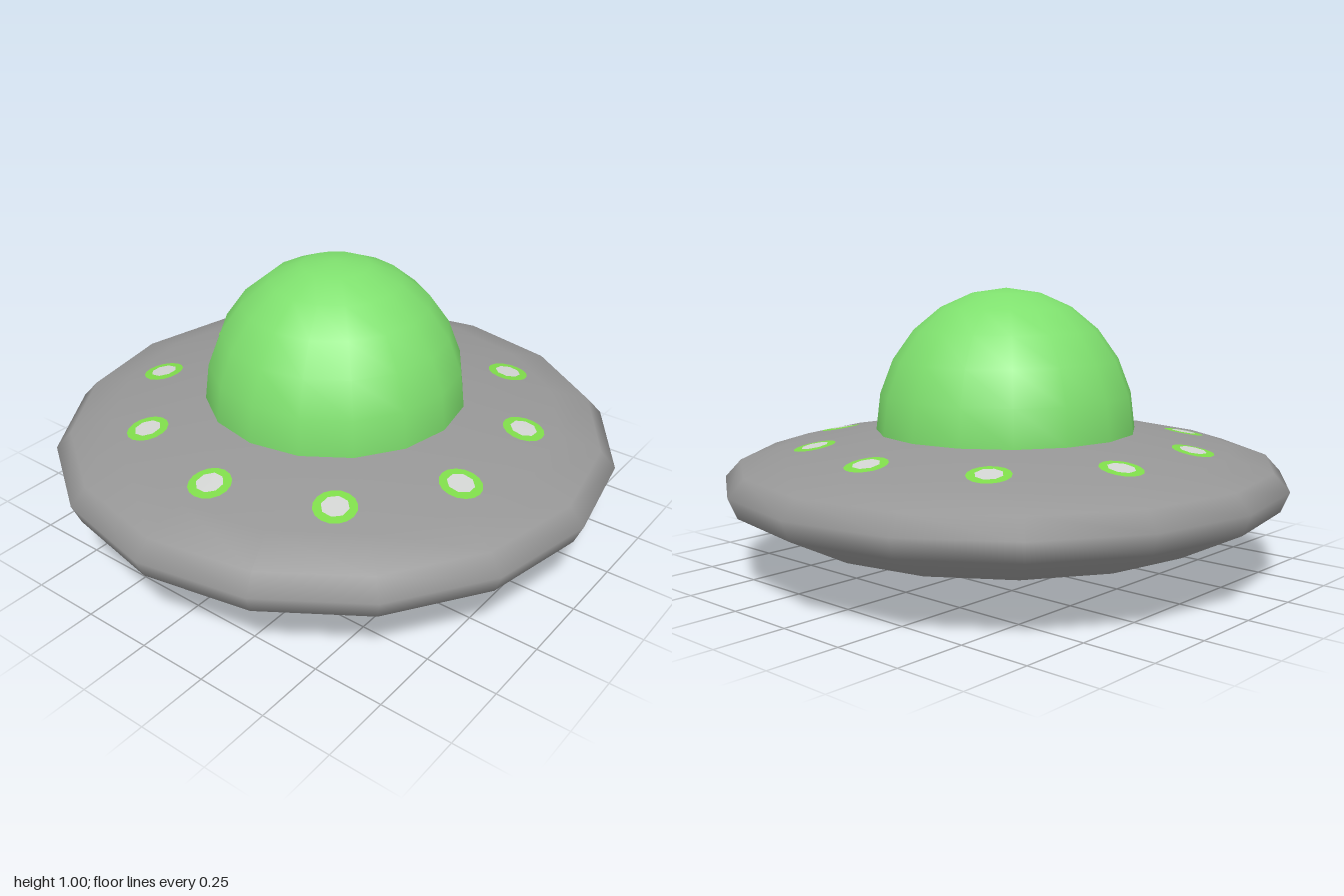
import * as THREE from 'three';

const SIDES = 16;

// Saucer half-profile (radius, height), from the underside up to the crown
const UNDER = [[0, 0.004], [0.25, 0.03], [0.5, 0.085], [0.75, 0.155], [0.97, 0.265], [1, 0.335]];
const UPPER = [[0, 0.52], [0.46, 0.5], [0.8, 0.44], [0.945, 0.395], [1, 0.335]];

// Height of the faceted saucer skin at (x, z)
function skinHeight(profile, x, z) {
  const step = (2 * Math.PI) / SIDES;
  const a = Math.atan2(z, x);
  const fromMid = a - (Math.floor(a / step) + 0.5) * step;
  const r = (Math.hypot(x, z) * Math.cos(fromMid)) / Math.cos(step / 2);
  const i = Math.max(1, profile.findIndex((p) => p[0] >= r));
  const [r0, y0] = profile[i - 1];
  const [r1, y1] = profile[i];
  return y0 + ((y1 - y0) * (r - r0)) / (r1 - r0);
}

// Lays a flat geometry onto the skin, lifted slightly off it
function drape(geometry, profile, lift) {
  const p = geometry.attributes.position;
  for (let i = 0; i < p.count; i++) {
    p.setY(i, skinHeight(profile, p.getX(i), p.getZ(i)) + lift);
  }
  geometry.computeVertexNormals();
  return geometry;
}

export function createModel() {
  const hull = new THREE.MeshStandardMaterial({ name: 'hull grey', color: 0x979797 });
  const glass = new THREE.MeshStandardMaterial({ name: 'dome green', color: 0x7fe06e });
  const rim = new THREE.MeshStandardMaterial({ name: 'rim green', color: 0x7fdc4a });
  const lamp = new THREE.MeshStandardMaterial({ name: 'lamp white', color: 0xd2d4d2 });

  const model = new THREE.Group();
  model.name = 'flyingSaucer';
  const add = (name, geometry, material, parent = model) => {
    const mesh = new THREE.Mesh(geometry, material);
    mesh.name = name;
    parent.add(mesh);
    return mesh;
  };

  // Saucer body
  const outline = [...UNDER, ...UPPER.slice(0, -1).reverse()];
  add('saucer', new THREE.LatheGeometry(outline.map(([r, y]) => new THREE.Vector2(r, y)), SIDES), hull);

  // Dome
  const dome = new THREE.SphereGeometry(1, SIDES, 6, 0, Math.PI * 2, 0, Math.PI / 2);
  dome.scale(0.463, 0.5, 0.463);
  dome.translate(0, 0.5, 0);
  add('dome', dome, glass);

  // Ten lights around the upper skin
  for (let i = 0; i < 10; i++) {
    const a = (i / 10) * Math.PI * 2 - 0.027;
    const light = new THREE.Group();
    light.name = `light${i + 1}`;
    model.add(light);
    const disc = (radius, sides, lift) => {
      const g = new THREE.CircleGeometry(radius, sides, Math.PI / 8);
      g.rotateX(-Math.PI / 2);
      g.translate(0.68 * Math.cos(a), 0, 0.68 * Math.sin(a));
      return drape(g, UPPER, lift);
    };
    add('lightRim', disc(0.072, 16, 0.003), rim, light);
    add('lightLamp', disc(0.046, 8, 0.005), lamp, light);
  }

  // Ring on the underside, with a thin green inner edge
  const underRing = (inner, outer) =>
    drape(new THREE.RingGeometry(inner, outer, 32).rotateX(Math.PI / 2), UNDER, -0.003);
  add('underRing', underRing(0.175, 0.213), lamp);
  add('underRingEdge', underRing(0.168, 0.175), rim);

  return model;
}
